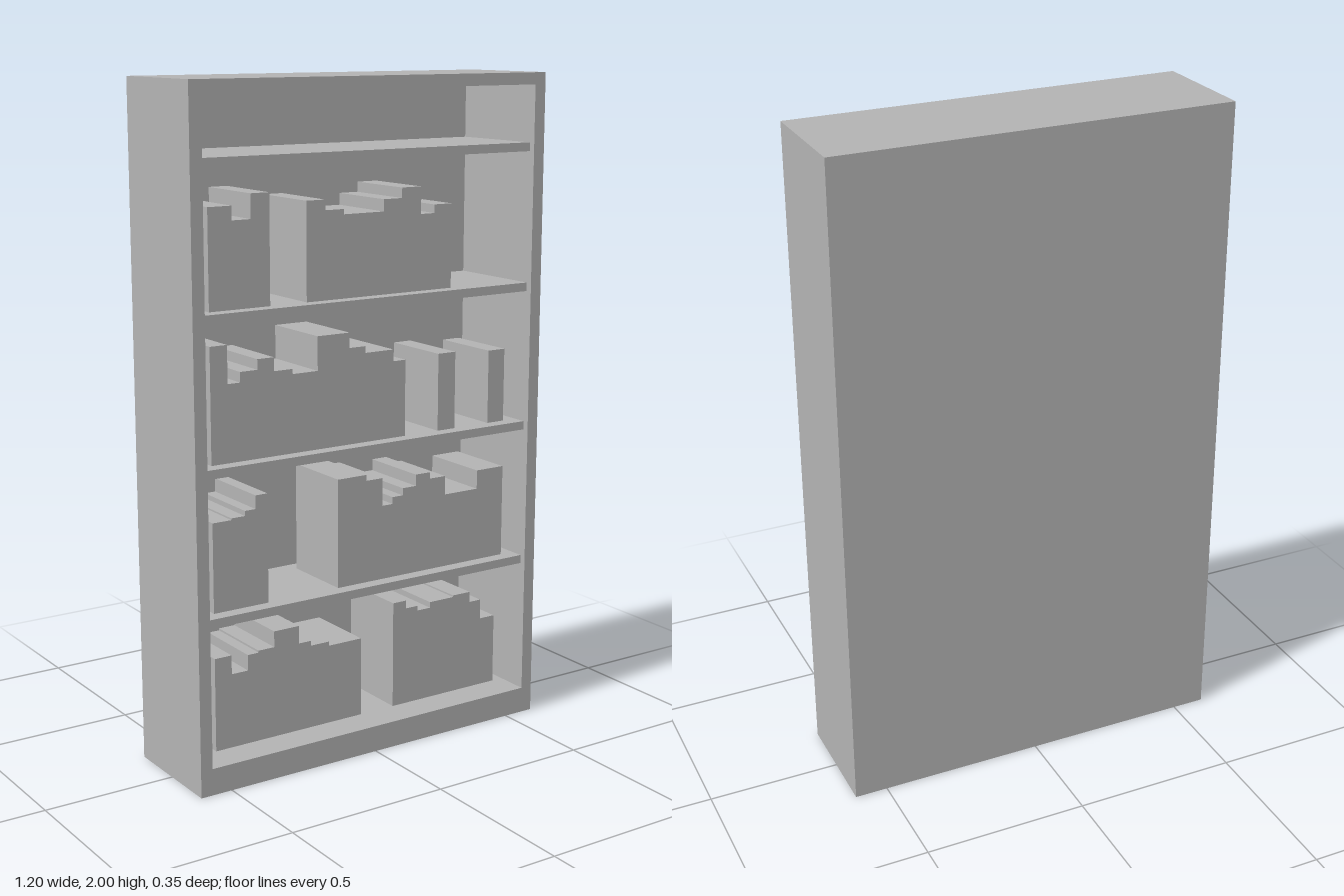
import * as THREE from 'three';

const grey = new THREE.MeshStandardMaterial({ color: 0xb3b3b3 });
grey.name = 'grey';

const W = 1.2, H = 2, D = 0.35;           // outer cabinet
const IN = 0.5625, LOW = 0.08, TOP = 1.965; // opening
const BACK = 0.015;                        // back panel thickness

function add(group, name, geometry, x = 0, y = 0, z = 0) {
  const mesh = new THREE.Mesh(geometry, grey);
  mesh.name = name;
  mesh.position.set(x, y, z);
  group.add(mesh);
  return mesh;
}

// Stepped row of books: x edges (one more than tops) and the height of each step
function bookRow(base, edges, tops) {
  const shape = new THREE.Shape();
  shape.moveTo(edges[0], base);
  shape.lineTo(edges[edges.length - 1], base);
  for (let i = tops.length - 1; i >= 0; i--) {
    shape.lineTo(edges[i + 1], tops[i]);
    shape.lineTo(edges[i], tops[i]);
  }
  shape.closePath();
  return new THREE.ExtrudeGeometry(shape, { depth: 0.23, bevelEnabled: false });
}

const BOOKS = [
  // top row
  [1.375, [-0.515, -0.44, -0.38, -0.32], [1.66, 1.62, 1.69]],
  [1.375, [-0.2, -0.137, -0.074, 0.063, 0.127, 0.195, 0.243, 0.306],
    [1.66, 1.63, 1.615, 1.65, 1.68, 1.6, 1.625]],
  // second row
  [0.945, [-0.515, -0.46, -0.42, -0.364, -0.31, -0.248, -0.164, -0.055, 0, 0.1, 0.143],
    [1.28, 1.17, 1.2, 1.23, 1.19, 1.175, 1.275, 1.23, 1.21, 1.175]],
  [0.945, [0.264, 0.327], [1.18]],
  [0.945, [0.454, 0.515], [1.17]],
  // third row
  [0.515, [-0.515, -0.454, -0.41, -0.375, -0.335], [0.78, 0.785, 0.8, 0.84]],
  [0.515, [-0.095, 0.005, 0.063, 0.1, 0.137, 0.185, 0.237, 0.295, 0.417, 0.517],
    [0.845, 0.827, 0.742, 0.763, 0.785, 0.82, 0.8, 0.742, 0.8]],
  // bottom row
  [0.1, [-0.515, -0.46, -0.406, -0.37, -0.317, -0.232, -0.19, -0.127, -0.013],
    [0.38, 0.323, 0.37, 0.376, 0.424, 0.37, 0.355, 0.342]],
  [0.1, [0.105, 0.153, 0.195, 0.243, 0.332, 0.396, 0.438, 0.493],
    [0.43, 0.405, 0.39, 0.408, 0.413, 0.38, 0.318]],
];

export function createModel() {
  const model = new THREE.Group();
  model.name = 'bookcase';

  // Frame: outer rectangle with the opening cut out
  const outline = new THREE.Shape([
    new THREE.Vector2(-W / 2, 0), new THREE.Vector2(W / 2, 0),
    new THREE.Vector2(W / 2, H), new THREE.Vector2(-W / 2, H),
  ]);
  outline.holes.push(new THREE.Path([
    new THREE.Vector2(-IN, LOW), new THREE.Vector2(-IN, TOP),
    new THREE.Vector2(IN, TOP), new THREE.Vector2(IN, LOW),
  ]));
  add(model, 'frame', new THREE.ExtrudeGeometry(outline, { depth: D, bevelEnabled: false }), 0, 0, -D / 2);

  // Back panel closing the opening
  add(model, 'backPanel', new THREE.BoxGeometry(IN * 2, TOP - LOW, BACK),
    0, (TOP + LOW) / 2, -D / 2 + BACK / 2);

  // Shelves, set slightly behind the front of the frame
  const shelfBack = -D / 2 + BACK, shelfFront = 0.155;
  for (const top of [0.515, 0.945, 1.375, 1.795]) {
    add(model, 'shelf', new THREE.BoxGeometry(IN * 2, 0.026, shelfFront - shelfBack),
      0, top - 0.013, (shelfFront + shelfBack) / 2);
  }

  // Books
  const books = new THREE.Group();
  books.name = 'books';
  for (const [base, edges, tops] of BOOKS) {
    add(books, 'bookRow', bookRow(base, edges, tops), 0, 0, -0.117);
  }
  model.add(books);
  return model;
}
